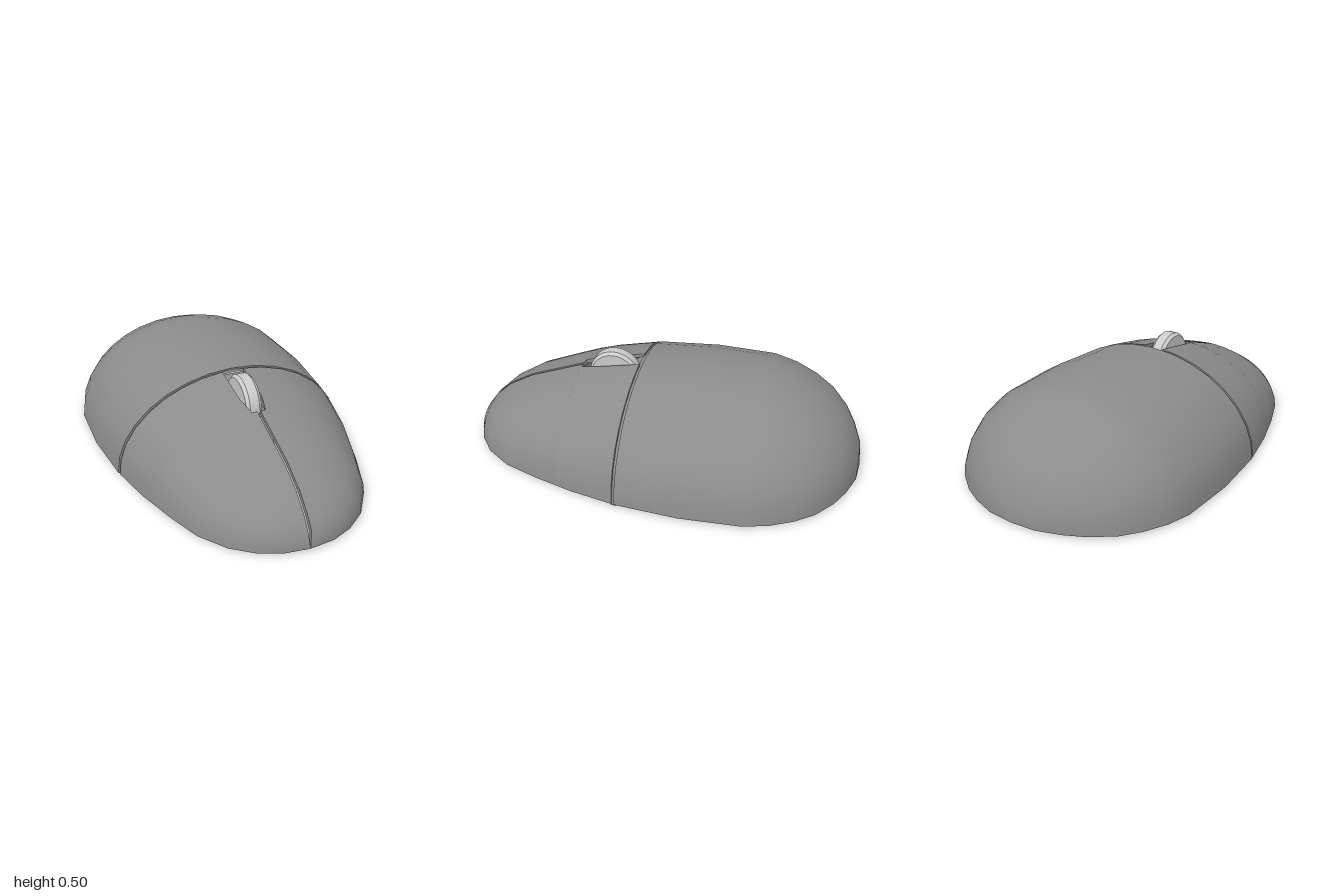
import * as THREE from 'three';
import { toCreasedNormals } from 'three/addons/utils/BufferGeometryUtils.js';

const bodyMat = new THREE.MeshStandardMaterial({ color: 0x8c8c8c });
const edgeMat = new THREE.MeshStandardMaterial({ color: 0x8c8c8c, side: THREE.DoubleSide });
const wheelMat = new THREE.MeshStandardMaterial({ color: 0xcccccc });

const T = 0.018, BASE = 0.012, STEPS = 16;

// Cross-sections: [z, half width, height, half width of the centre slot]
const backRows = [
  [-1, 0, 0], [-0.99, 0.13, 0.1], [-0.95, 0.25, 0.19], [-0.9, 0.35, 0.265],
  [-0.82, 0.455, 0.34], [-0.73, 0.525, 0.395], [-0.62, 0.582, 0.44],
  [-0.5, 0.617, 0.468], [-0.2, 0.63, 0.477], [0.115, 0.604, 0.462],
];
const frontRows = [
  [0.13, 0.6, 0.46, 0.055], [0.35, 0.553, 0.418, 0.055], [0.44, 0.525, 0.392, 0.035],
  [0.44, 0.525, 0.392, 0.008], [0.55, 0.492, 0.352, 0.008], [0.73, 0.425, 0.286, 0.008],
  [0.86, 0.333, 0.213, 0.008], [0.94, 0.23, 0.14, 0.008], [0.985, 0.125, 0.08, 0.008], [1, 0, 0, 0.008],
];

// Surface through rows of points; its normal is column direction x row direction
function grid(rows) {
  const n = rows[0].length, index = [];
  for (let i = 0; i < rows.length - 1; i++) {
    for (let j = 0; j < n - 1; j++) {
      const a = i * n + j, b = a + 1, c = a + n, d = c + 1;
      index.push(a, b, c, b, d, c);
    }
  }
  const g = new THREE.BufferGeometry();
  g.setAttribute('position', new THREE.Float32BufferAttribute(rows.flat(2), 3));
  g.setIndex(index);
  g.computeVertexNormals();
  return g;
}

function add(group, name, geometry, material) {
  const m = new THREE.Mesh(geometry, material);
  m.name = name;
  group.add(m);
}

// Elliptical arc of one section, inset by t; side 0 = full arch, 1 = left, -1 = right
function arc([z, w, h, s = 0], t, side) {
  const base = t > 0 ? 0 : BASE;
  const W = Math.max(w - t, 0);
  const H = h > 0 ? h + BASE - base - t : 0;
  const cut = W > s ? Math.acos(s / W) : 0;
  const a0 = side < 0 ? Math.PI - cut : 0;
  const a1 = side > 0 ? cut : Math.PI;
  const n = side ? STEPS / 2 : STEPS;
  return Array.from({ length: n + 1 }, (_, i) => {
    const a = a0 + (a1 - a0) * i / n;
    return [W * Math.cos(a), base + H * Math.sin(a), z * (1 - t)];
  });
}

// Thin shell: outer skin, inner skin, slanted bottom rim, slot edge and seam edge
function shell(name, rows, side, seamRow) {
  const g = new THREE.Group();
  g.name = name;
  const outer = rows.map(r => arc(r, 0, side));
  const inner = rows.map(r => arc(r, T, side));
  add(g, name + 'Outside', grid(outer), bodyMat);
  add(g, name + 'Inside', grid(inner.map(r => [...r].reverse())), bodyMat);
  for (const j of [0, outer[0].length - 1]) {
    const strip = outer.map((r, i) => [r[j], inner[i][j]]);
    add(g, name + 'Edge', toCreasedNormals(grid(strip), 0.4), edgeMat);
  }
  add(g, name + 'SeamEdge', grid([outer[seamRow], inner[seamRow]]), edgeMat);
  return g;
}

export function createModel() {
  const model = new THREE.Group();
  model.name = 'computerMouse';

  model.add(shell('palmShell', backRows, 0, backRows.length - 1));
  model.add(shell('leftButton', frontRows, 1, 0));
  model.add(shell('rightButton', frontRows, -1, 0));

  // Slanted triangular plate under the centre slot, from the nose up to the seam
  const plate = [[[0.1, 0.447, 0.12], [-0.1, 0.447, 0.12]], [[0, 0, 0.985], [0, 0, 0.985]]];
  add(model, 'slotPlate', grid(plate), edgeMat);

  // Recessed strip closing the seam between palm shell and buttons
  const seam = [[0.108, 0.604, 0.462], [0.136, 0.6, 0.46]].map(r => arc(r, 0.009, 0));
  add(model, 'seamStrip', grid(seam), edgeMat);

  // Scroll wheel with bevelled edges
  const profile = [[0, -0.04], [0.117, -0.04], [0.13, -0.024], [0.13, 0.024], [0.117, 0.04], [0, 0.04]]
    .map(p => new THREE.Vector2(...p));
  const wheel = toCreasedNormals(new THREE.LatheGeometry(profile, 28), 0.5);
  wheel.rotateZ(Math.PI / 2).translate(0, 0.375, 0.27);
  add(model, 'scrollWheel', wheel, wheelMat);

  return model;
}
